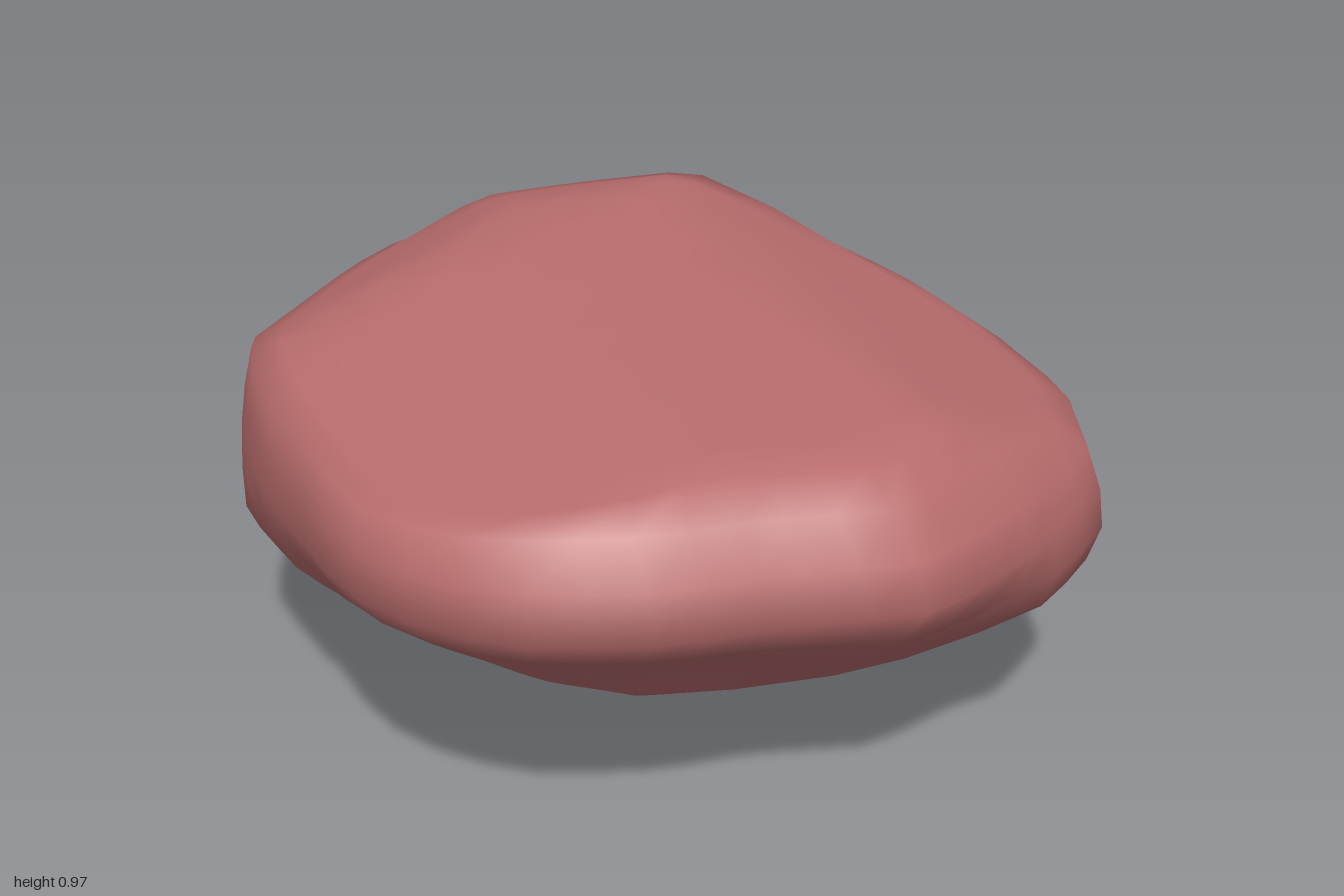
import * as THREE from 'three';

const COLUMNS = 52;

// Plan outlines in unit coordinates (x, z): rim and underside
const RIM = [
  [0.08, -1], [0.32, -0.96], [0.52, -0.8], [0.79, -0.53], [0.97, -0.05], [1, 0.1], [0.95, 0.45],
  [0.79, 0.73], [0.49, 0.88], [0.15, 1], [-0.23, 0.92], [-0.42, 0.9], [-0.66, 0.82], [-0.77, 0.76],
  [-0.91, 0.6], [-0.98, 0.45], [-1, 0], [-0.98, -0.2], [-0.91, -0.45], [-0.5, -0.82], [-0.23, -0.93],
];
const UNDERSIDE = [
  [1, 0.8], [0.7, 1], [0.15, 0.9], [-0.4, 0.5], [-0.85, 0.05], [-1, -0.35],
  [-0.94, -0.66], [-0.6, -1], [0, -0.88], [0.6, -0.5], [0.9, 0.1],
];

// Levels from the ground to the shoulder: y, xMin, xMax, zMin, zMax, rim share
const LEVELS = [
  [0.005, -0.2, 0.0, -0.3, 0.14, 0.3],
  [0.04, -0.42, 0.12, -0.49, 0.24, 0.1],
  [0.11, -0.55, 0.41, -0.59, 0.41, 0],
  [0.2, -0.67, 0.55, -0.69, 0.55, 0.1],
  [0.32, -0.77, 0.69, -0.77, 0.72, 0.3],
  [0.43, -0.855, 0.81, -0.86, 0.88, 0.55],
  [0.52, -0.865, 0.85, -0.93, 0.96, 0.8],
  [0.61, -0.86, 0.86, -1, 1, 1],
  [0.7, -0.85, 0.83, -0.96, 0.97, 1],
  [0.79, -0.83, 0.77, -0.91, 0.91, 1],
];
const TOP_SCALES = [0.92, 0.8, 0.65, 0.5, 0.35, 0.18];

// Distance from the centre to a polygon along an angle
function reach(poly, angle) {
  const dx = Math.cos(angle), dz = Math.sin(angle);
  let best = 0;
  poly.forEach(([ax, az], i) => {
    const [bx, bz] = poly[(i + 1) % poly.length];
    const ex = bx - ax, ez = bz - az;
    const det = dx * ez - dz * ex;
    if (Math.abs(det) < 1e-9) return;
    const t = (ax * ez - az * ex) / det;
    const s = (ax * dz - az * dx) / det;
    if (t > 0 && s >= -1e-6 && s <= 1 + 1e-6) best = Math.max(best, t);
  });
  return best;
}

// Top surface: the lowest of five sloping facets
function crown(x, z) {
  return Math.min(
    0.925 - 0.1 * z,
    1.02 - 0.35 * x - 0.1 * z,
    0.98 + 0.2 * x - 0.1 * z,
    1.19 + 0.358 * (x + z),
    1.12 + 0.3 * z,
  );
}

function rockGeometry() {
  const points = [], index = [];
  const ring = ([y, x0, x1, z0, z1, share], scale, limit) => {
    for (let j = 0; j < COLUMNS; j++) {
      const a = (j / COLUMNS) * Math.PI * 2;
      const r = scale * THREE.MathUtils.lerp(reach(UNDERSIDE, a), reach(RIM, a), share);
      const x = (x0 + x1) / 2 + Math.cos(a) * r * (x1 - x0) / 2;
      const z = (z0 + z1) / 2 + Math.sin(a) * r * (z1 - z0) / 2;
      points.push(x, Math.min(limit, crown(x, z)), z);
    }
  };

  // Sides, then the rings of the top surface
  LEVELS.forEach((level) => ring(level, 1, level[0]));
  const shoulder = LEVELS[LEVELS.length - 1];
  TOP_SCALES.forEach((s) => ring(shoulder, s, 1));

  const rings = LEVELS.length + TOP_SCALES.length;
  for (let i = 0; i < rings - 1; i++) {
    for (let j = 0; j < COLUMNS; j++) {
      const k = (j + 1) % COLUMNS;
      const a = i * COLUMNS + j, b = i * COLUMNS + k;
      index.push(a, a + COLUMNS, b, b, a + COLUMNS, b + COLUMNS);
    }
  }

  // Close the bottom and the top
  const bottom = rings * COLUMNS, top = bottom + 1, last = (rings - 1) * COLUMNS;
  points.push(-0.1, 0, -0.08, -0.03, crown(-0.03, 0), 0);
  for (let j = 0; j < COLUMNS; j++) {
    const k = (j + 1) % COLUMNS;
    index.push(bottom, j, k, top, last + k, last + j);
  }

  const geometry = new THREE.BufferGeometry();
  geometry.setAttribute('position', new THREE.Float32BufferAttribute(points, 3));
  geometry.setIndex(index);
  geometry.computeVertexNormals();
  return geometry;
}

export function createModel() {
  const group = new THREE.Group();
  group.name = 'boulder';
  const rock = new THREE.Mesh(rockGeometry(), new THREE.MeshStandardMaterial({ color: 0xb86c6c }));
  rock.name = 'rock';
  group.add(rock);
  return group;
}
